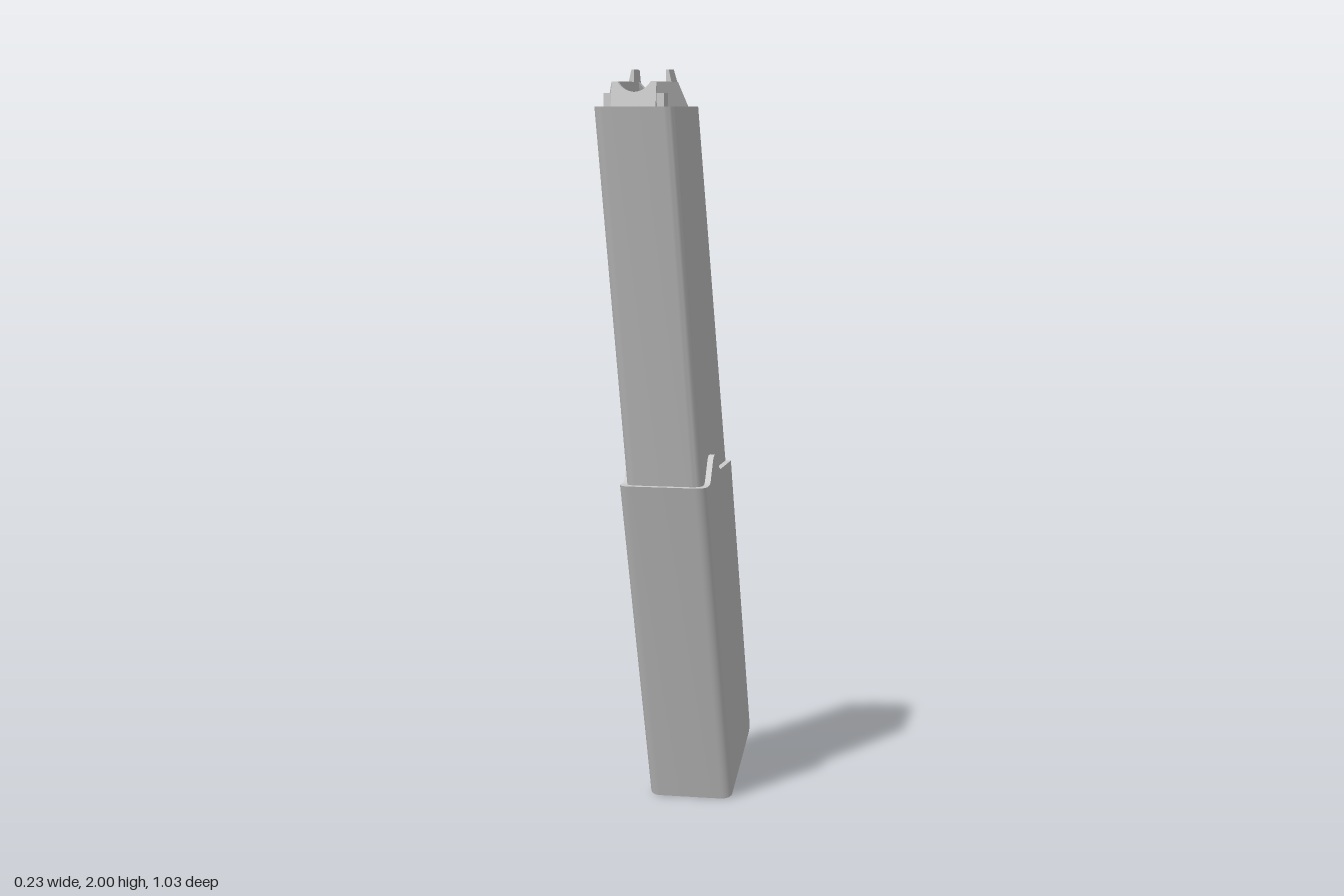
import * as THREE from 'three';
import { toCreasedNormals } from 'three/addons/utils/BufferGeometryUtils.js';
import { ConvexGeometry } from 'three/addons/geometries/ConvexGeometry.js';

const grey = new THREE.MeshStandardMaterial({ color: 0xcccccc });
const greyDouble = new THREE.MeshStandardMaterial({ color: 0xcccccc, side: THREE.DoubleSide });

function add(group, name, geometry, material = grey) {
  const mesh = new THREE.Mesh(geometry, material);
  mesh.name = name;
  group.add(mesh);
}

// Half outline as [x, t]: t runs 0 (back) to 1 (front), ending in a rounded front corner
function halfOutline(w, r, length, stops) {
  const pts = stops.map(t => [w, t]);
  for (let i = 0; i <= 6; i++) {
    const a = (i / 6) * Math.PI / 2;
    pts.push([w - r + r * Math.cos(a), 1 - (r / length) * (1 - Math.sin(a))]);
  }
  return pts;
}

// Loft between a lower and an upper ring; each ring maps t to [z, y]
function loft(half, lower, upper, capBottom, capTop) {
  const ring = f => {
    const right = half.map(([x, t]) => { const [z, y] = f(t); return [x, y, z]; });
    return right.concat(right.map(([x, y, z]) => [-x, y, z]).reverse());
  };
  const lo = ring(lower), hi = ring(upper), n = lo.length, v = [];
  const quad = (a, b, c, d) => v.push(...a, ...b, ...c, ...a, ...c, ...d);
  for (let i = 0; i < n; i++) {
    const j = (i + 1) % n;
    quad(lo[i], hi[i], hi[j], lo[j]);
  }
  for (let i = 0; i < half.length - 1; i++) {
    const m = n - 1 - i;
    if (capTop) quad(hi[i], hi[m], hi[m - 1], hi[i + 1]);
    if (capBottom) quad(lo[i], lo[i + 1], lo[m - 1], lo[m]);
  }
  const g = new THREE.BufferGeometry();
  g.setAttribute('position', new THREE.Float32BufferAttribute(v, 3));
  return toCreasedNormals(g, 0.6);
}

// Piecewise linear height along z
function polyline(points, z) {
  for (let i = 1; i < points.length; i++) {
    const [z0, y0] = points[i - 1], [z1, y1] = points[i];
    if (z <= z1) return y0 + (y1 - y0) * Math.max(0, (z - z0) / (z1 - z0));
  }
  return points[points.length - 1][1];
}

// Thin end wall with a round notch, leaning by a given slope
function notchedWall(w, top, z, depth, lean) {
  const s = new THREE.Shape();
  const a = Math.asin((top - 1.99) / 0.045);
  s.moveTo(-w, 1.91);
  s.lineTo(w, 1.91);
  s.lineTo(w, top);
  s.absarc(0, 1.99, 0.045, a, -Math.PI - a, true);
  s.lineTo(-w, top);
  const g = new THREE.ExtrudeGeometry(s, { depth, bevelEnabled: false, curveSegments: 16 });
  const p = g.attributes.position;
  for (let i = 0; i < p.count; i++) p.setZ(i, p.getZ(i) + z + (p.getY(i) - 1.91) * lean);
  g.computeVertexNormals();
  return g;
}

export function createModel() {
  const model = new THREE.Group();
  const lerp = THREE.MathUtils.lerp;

  // Lower sleeve with a stepped rim and a softened back bottom edge
  const rim = [[-0.19, 0.955], [-0.03, 0.955], [-0.01, 0.965], [0.025, 1.0], [0.04, 1.005],
    [0.06, 1.005], [0.072, 0.998], [0.11, 0.942], [0.122, 0.936], [0.185, 0.936]];
  const base = [[-0.515, 0.135], [-0.513, 0.126], [-0.503, 0.116], [-0.4, 0.075], [-0.205, 0.0]];
  const stops = [...rim.slice(0, -1).map(([z]) => (z + 0.19) / 0.375),
    ...base.slice(1, 4).map(([z]) => (z + 0.515) / 0.31)].sort((a, b) => a - b);
  add(model, 'sleeve', loft(halfOutline(0.115, 0.028, 0.375, stops),
    t => { const z = lerp(-0.515, -0.205, t); return [z, polyline(base, z)]; },
    t => { const z = lerp(-0.19, 0.185, t); return [z, polyline(rim, z)]; }, true, true));

  // Upper body, open at the top
  const bodyHalf = halfOutline(0.1, 0.025, 0.305, [0]);
  add(model, 'body', loft(bodyHalf,
    t => [lerp(-0.19, 0.16, t), lerp(0.955, 0.92, t)],
    t => [lerp(0.21, 0.515, t), 1.91], true, false));

  // Flat shoulder around the mouth
  const outline = bodyHalf.map(([x, t]) => new THREE.Vector2(x, -lerp(0.21, 0.515, t)));
  const shoulder = new THREE.Shape(outline.concat(
    outline.map(p => new THREE.Vector2(-p.x, p.y)).reverse()));
  const mouth = [[-0.04, -0.24], [0.04, -0.24], [0.04, -0.5], [-0.04, -0.5]];
  shoulder.holes.push(new THREE.Path(mouth.map(p => new THREE.Vector2(...p))));
  add(model, 'shoulder', new THREE.ShapeGeometry(shoulder).rotateX(-Math.PI / 2).translate(0, 1.91, 0), greyDouble);

  // Recess inside the mouth
  add(model, 'recess', loft([[0.04, 0], [0.04, 1]],
    t => [lerp(0.24, 0.5, t), 1.87], t => [lerp(0.24, 0.5, t), 1.91], true, false), greyDouble);

  // Notched end walls
  add(model, 'rearWall', notchedWall(0.046, 1.985, 0.212, 0.025, 0.5));
  add(model, 'frontWall', notchedWall(0.055, 1.97, 0.499, 0.015, -0.17));

  // Feed lips, mirrored left and right
  const hull = (s, pts) => new ConvexGeometry(pts.map(([x, y, z]) => new THREE.Vector3(s * x, y, z)));
  for (const s of [1, -1]) {
    const side = s > 0 ? 'left' : 'right';
    add(model, side + 'Lip', hull(s, [
      [0.04, 1.91, 0.212], [0.075, 1.91, 0.212], [0.075, 1.91, 0.46], [0.04, 1.91, 0.51],
      [0.055, 1.91, 0.51], [0.04, 1.97, 0.24], [0.055, 1.97, 0.242], [0.055, 1.97, 0.503],
      [0.04, 1.97, 0.503]]));
    add(model, side + 'RearLip', hull(s, [
      [0.04, 1.96, 0.236], [0.056, 1.96, 0.24], [0.056, 1.96, 0.318], [0.04, 1.96, 0.318],
      [0.04, 2.0, 0.255], [0.047, 2.0, 0.255], [0.047, 2.0, 0.318], [0.04, 2.0, 0.318]]));
    const wing = new THREE.BoxGeometry(0.025, 0.032, 0.047).translate(s * 0.0615, 1.926, 0.4825);
    add(model, side + 'FrontTab', wing);
  }
  return model;
}
